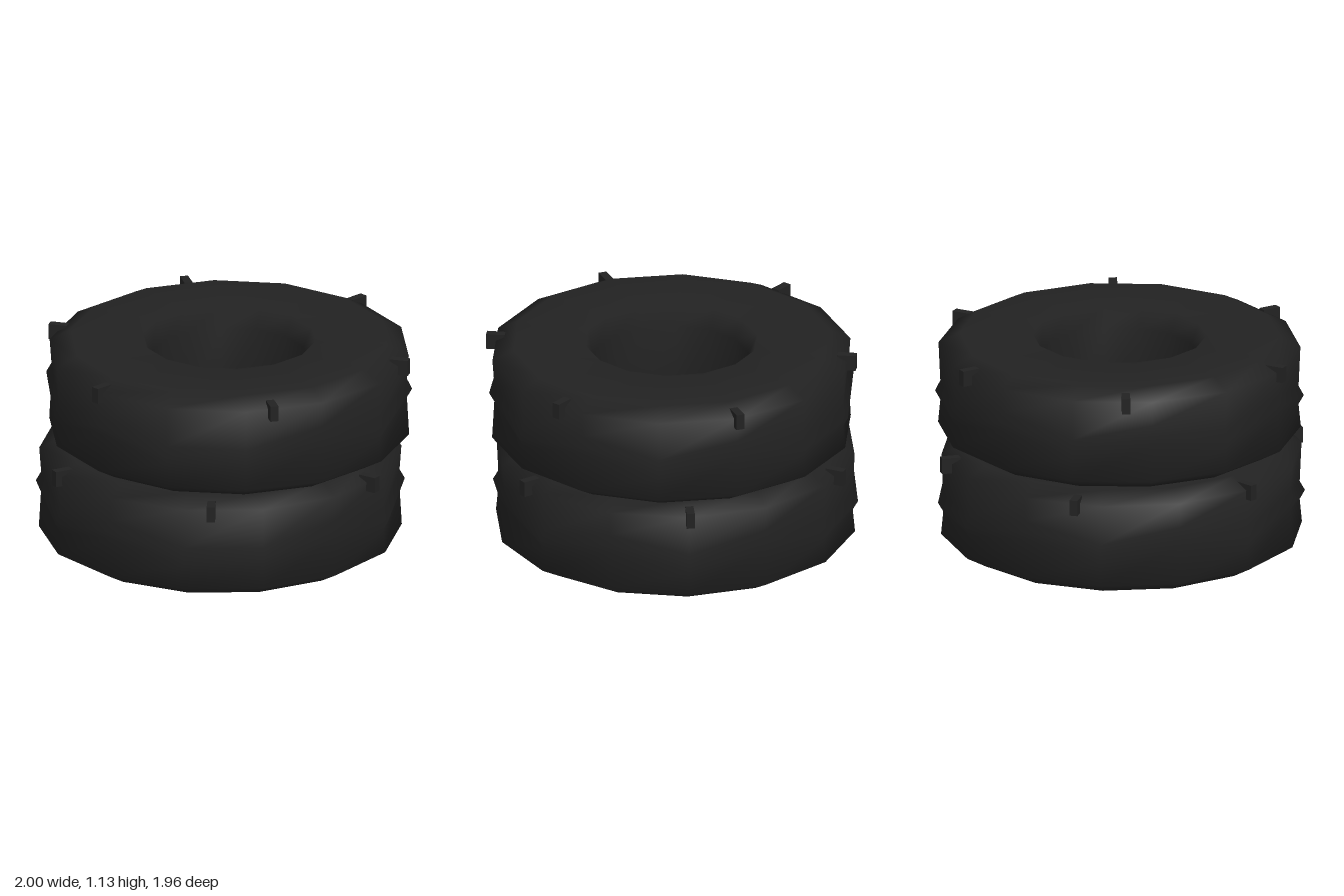
import * as THREE from 'three';

const SIDES = 14;
const rubber = new THREE.MeshStandardMaterial({ color: 0x222222 });
rubber.name = 'blackRubber';

// Tyre body: a closed cross-section swept round the axle, with a zigzag ridge on the tread
function tyreGeometry(startAngle) {
  const positions = [], indices = [];
  let rows = 0;
  for (let k = 0; k < SIDES; k++) {
    const a = startAngle + (k / SIDES) * Math.PI * 2;
    const ridge = (k % 7) % 2 === 0 && k % 7 !== 6 ? 0.325 : 0.24;
    const section = [
      [0.415, 0.09], [0.44, 0], [0.845, 0], [0.962, 0.065],
      [ridge - 0.05, 0], [ridge, 0], [ridge + 0.05, 0],
      [0.96, 0.51], [0.85, 0.565], [0.46, 0.565], [0.415, 0.46],
    ];
    section[4] = [0.95, ridge - 0.05];
    section[5] = [0.978, ridge];
    section[6] = [0.95, ridge + 0.05];
    rows = section.length;
    for (const [r, y] of section) positions.push(r * Math.sin(a), y, r * Math.cos(a));
  }
  for (let k = 0; k < SIDES; k++) {
    for (let i = 0; i < rows; i++) {
      const k2 = (k + 1) % SIDES, i2 = (i + 1) % rows;
      const a = k * rows + i, b = k2 * rows + i, c = k2 * rows + i2, d = k * rows + i2;
      indices.push(a, b, c, a, c, d);
    }
  }
  const geometry = new THREE.BufferGeometry();
  geometry.setAttribute('position', new THREE.Float32BufferAttribute(positions, 3));
  geometry.setIndex(indices);
  geometry.computeVertexNormals();
  return geometry;
}

// Small L-shaped lug hooked over the shoulder; drawn in (radius, height)
function lugGeometry() {
  const shape = new THREE.Shape([
    [0.89, 0.545], [0.89, 0.5], [0.935, 0.5], [0.935, 0.46], [0.99, 0.46], [0.99, 0.545],
  ].map(([r, y]) => new THREE.Vector2(r, y)));
  const geometry = new THREE.ExtrudeGeometry(shape, { depth: 0.044, bevelEnabled: false });
  geometry.translate(0, 0, -0.022);
  geometry.rotateY(-Math.PI / 2); // radius now points along +z
  return geometry;
}

function makeTyre(name, x, y, z, turn, lugTurn) {
  const tyre = new THREE.Group();
  tyre.name = name;
  tyre.position.set(x, y, z);
  const body = new THREE.Mesh(tyreGeometry(THREE.MathUtils.degToRad(turn)), rubber);
  body.name = 'tyreBody';
  tyre.add(body);
  const geometry = lugGeometry();
  for (let i = 0; i < 6; i++) {
    const lug = new THREE.Mesh(geometry, rubber);
    lug.name = 'treadLug';
    lug.rotation.y = THREE.MathUtils.degToRad(lugTurn + i * 60);
    tyre.add(lug);
  }
  return tyre;
}

export function createModel() {
  const model = new THREE.Group();
  model.name = 'tyreStack';
  model.add(makeTyre('lowerTyre', -0.01, 0, -0.025, 12.5, 30));
  model.add(makeTyre('upperTyre', 0.03, 0.565, 0, 4.1, 47));
  return model;
}
